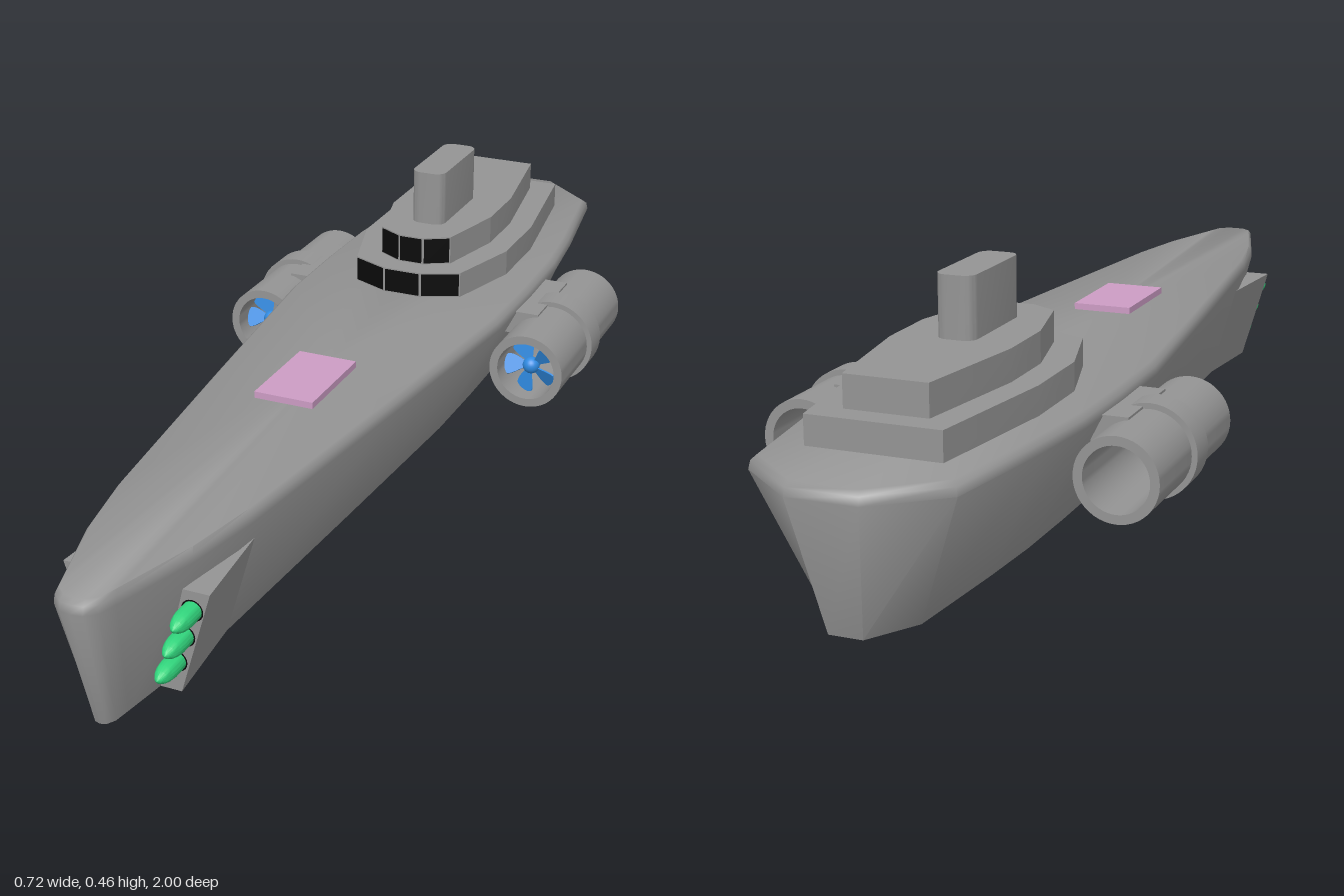
import * as THREE from 'three';
import { toCreasedNormals } from 'three/addons/utils/BufferGeometryUtils.js';

const mat = (color) => new THREE.MeshStandardMaterial({ color });
const grey = mat(0x949494);
const black = mat(0x0a0a0a);
const green = mat(0x31d47c);
const purple = mat(0xcc9cc4);
const blue = mat(0x2f8ae0);
blue.side = THREE.DoubleSide;

function add(parent, name, geometry, material, x = 0, y = 0, z = 0) {
  const mesh = new THREE.Mesh(geometry, material);
  mesh.name = name;
  mesh.position.set(x, y, z);
  parent.add(mesh);
  return mesh;
}

// Mirror a half outline [x, z], listed from back to front, into a full loop
function mirrorLoop(half) {
  const other = half.filter(([x]) => x > 0).map(([x, z]) => [-x, z]).reverse();
  return [...half, ...other];
}

// Skin a loop through levels { y, sx, sz } from bottom to top and cap both ends
function loft(loop, levels, crease = 0.5) {
  const midZ = loop.reduce((sum, p) => sum + p[1], 0) / loop.length;
  const n = loop.length;
  const rings = levels.map(({ y, sx = 1, sz = 1 }) => loop.map(([x, z]) => [x * sx, y, z * sz]));
  const pos = [];
  const tri = (a, b, c) => pos.push(...a, ...b, ...c);
  const last = rings.length - 1;
  for (let i = 0; i < n; i++) {
    const j = (i + 1) % n;
    for (let k = 0; k < last; k++) {
      tri(rings[k][i], rings[k + 1][i], rings[k][j]);
      tri(rings[k][j], rings[k + 1][i], rings[k + 1][j]);
    }
    tri([0, levels[0].y, midZ], rings[0][i], rings[0][j]);
    tri([0, levels[last].y, midZ], rings[last][j], rings[last][i]);
  }
  const g = new THREE.BufferGeometry();
  g.setAttribute('position', new THREE.Float32BufferAttribute(pos, 3));
  return toCreasedNormals(g, crease);
}

// Deckhouse tier with one dark pane on each of its three front faces
function addTier(parent, name, half, y0, y1) {
  const tier = new THREE.Group();
  tier.name = name;
  parent.add(tier);
  add(tier, 'deckhouse', loft(mirrorLoop(half), [{ y: y0 - 0.005 }, { y: y1 }], 0.2), grey);
  const [b, a] = half.slice(-2);
  const faces = [[a, [-a[0], a[1]]], [b, a], [[-a[0], a[1]], [-b[0], b[1]]]];
  for (const [p, q] of faces) {
    const dx = q[0] - p[0], dz = q[1] - p[1];
    const pane = new THREE.BoxGeometry(Math.hypot(dx, dz) - 0.005, y1 - y0 - 0.005, 0.003);
    add(tier, 'window', pane, black, (p[0] + q[0]) / 2, (y0 + y1) / 2, (p[1] + q[1]) / 2)
      .rotation.y = Math.atan2(-dz, dx);
  }
}

// Wedge beside the bow, carrying three missiles
function addPod(parent, s) {
  const pod = new THREE.Group();
  pod.name = s > 0 ? 'leftMissilePod' : 'rightMissilePod';
  parent.add(pod);
  const g = new THREE.BoxGeometry(1, 1, 1);
  const p = g.attributes.position;
  for (let i = 0; i < p.count; i++) {
    const top = p.getY(i) > 0, front = p.getZ(i) > 0, outer = p.getX(i) * s > 0;
    const edge = front ? (top ? 0.128 : 0.073) : (top ? 0.111 : 0.056);
    p.setXYZ(i, s * (outer ? edge : edge - 0.055), top ? 0.187 : 0, front ? 0.815 : 0.62);
  }
  g.computeVertexNormals();
  add(pod, 'podBody', g, grey);

  const nose = [[0, 0], [0.0165, 0], [0.0165, 0.028], [0.015, 0.04], [0.0115, 0.051], [0.006, 0.06], [0, 0.064]];
  const missile = new THREE.LatheGeometry(nose.map(([x, y]) => new THREE.Vector2(x, y)), 20);
  missile.rotateX(Math.PI / 2);
  for (let i = 0; i < 3; i++) {
    const x = s * (0.066 + 0.0155 * i), y = 0.055 + 0.049 * i;
    add(pod, 'missile', toCreasedNormals(missile, 0.6), green, x, y, 0.814);
    add(pod, 'launchPort', new THREE.CircleGeometry(0.019, 20), black, x, y, 0.8155);
  }
}

// Open duct with a clamp ring, strut and five-bladed propeller
function addThruster(parent, s) {
  const thruster = new THREE.Group();
  thruster.name = s > 0 ? 'leftThruster' : 'rightThruster';
  parent.add(thruster);
  const cx = 0.278 * s, cy = 0.155;
  const profile = [
    [0.057, -0.56], [0.073, -0.56], [0.073, -0.402], [0.083, -0.402],
    [0.083, -0.347], [0.073, -0.347], [0.073, -0.19], [0.057, -0.19], [0.057, -0.56],
  ].map(([x, y]) => new THREE.Vector2(x, y));
  const duct = new THREE.LatheGeometry(profile, 48);
  duct.rotateX(Math.PI / 2);
  add(thruster, 'duct', toCreasedNormals(duct, 0.6), grey, cx, cy);

  const strut = new THREE.Shape([
    [0.16, 0.185], [0.215, 0.185], [0.225, 0.196], [0.24, 0.209], [0.266, 0.22], [0.266, 0.231], [0.16, 0.231],
  ].map(([x, y]) => new THREE.Vector2(s * x, y)));
  add(thruster, 'strut', new THREE.ExtrudeGeometry(strut, { depth: 0.18, bevelEnabled: false }), grey, 0, 0, -0.47);

  const propeller = new THREE.Group();
  propeller.name = 'propeller';
  propeller.position.set(cx, cy, -0.225);
  thruster.add(propeller);
  add(propeller, 'hub', new THREE.SphereGeometry(0.0165, 24, 16), blue);
  const outline = new THREE.Shape();
  outline.moveTo(-0.006, 0.01);
  outline.bezierCurveTo(-0.012, 0.022, -0.024, 0.034, -0.025, 0.044);
  outline.bezierCurveTo(-0.018, 0.054, 0.005, 0.056, 0.014, 0.05);
  outline.bezierCurveTo(0.018, 0.036, 0.009, 0.024, 0.006, 0.01);
  const blade = new THREE.ExtrudeGeometry(outline, { depth: 0.003, bevelEnabled: false, curveSegments: 8 });
  blade.translate(0, 0, -0.0015);
  blade.rotateY(0.5);
  for (let i = 0; i < 5; i++) {
    add(propeller, 'blade', blade, blue).rotation.z = 0.3 + (i * Math.PI * 2) / 5;
  }
}

export function createModel() {
  const ship = new THREE.Group();
  ship.name = 'ship';

  // Hull flares up to the gunwale, then rounds in to the deck
  const hull = mirrorLoop([
    [0.06, -1], [0.17, -0.91], [0.205, -0.68], [0.22, -0.54], [0.223, -0.38], [0.22, -0.2],
    [0.172, 0.23], [0.121, 0.66], [0.094, 0.8], [0.048, 0.95], [0.038, 0.982], [0.02, 0.997], [0, 1],
  ]);
  add(ship, 'hull', loft(hull, [
    { y: 0, sx: 0.48, sz: 0.94 }, { y: 0.228 }, { y: 0.242, sx: 0.985, sz: 0.997 }, { y: 0.25, sx: 0.94, sz: 0.988 },
  ], 0.95), grey);

  // Superstructure
  addTier(ship, 'lowerTier',
    [[0.115, -0.84], [0.153, -0.57], [0.153, -0.42], [0.11, -0.272], [0.038, -0.24]], 0.25, 0.3);
  addTier(ship, 'upperTier',
    [[0.072, -0.795], [0.106, -0.57], [0.106, -0.45], [0.073, -0.312], [0.025, -0.285]], 0.3, 0.355);

  // Funnel with rounded corners
  const funnel = [];
  for (let i = 0; i <= 5; i++) {
    const a = (i / 5) * Math.PI / 2;
    funnel.push([0.014 + 0.02 * Math.sin(a), -0.536 - 0.02 * Math.cos(a)]);
  }
  const front = funnel.map(([x, z]) => [x, -0.92 - z]).reverse();
  add(ship, 'funnel', loft(mirrorLoop([...funnel, ...front]), [{ y: 0.35 }, { y: 0.461 }]), grey);

  // Foredeck hatch
  add(ship, 'hatch', new THREE.BoxGeometry(0.112, 0.016, 0.186), purple, 0, 0.254, 0.202);

  for (const s of [1, -1]) {
    addPod(ship, s);
    addThruster(ship, s);
  }
  return ship;
}
